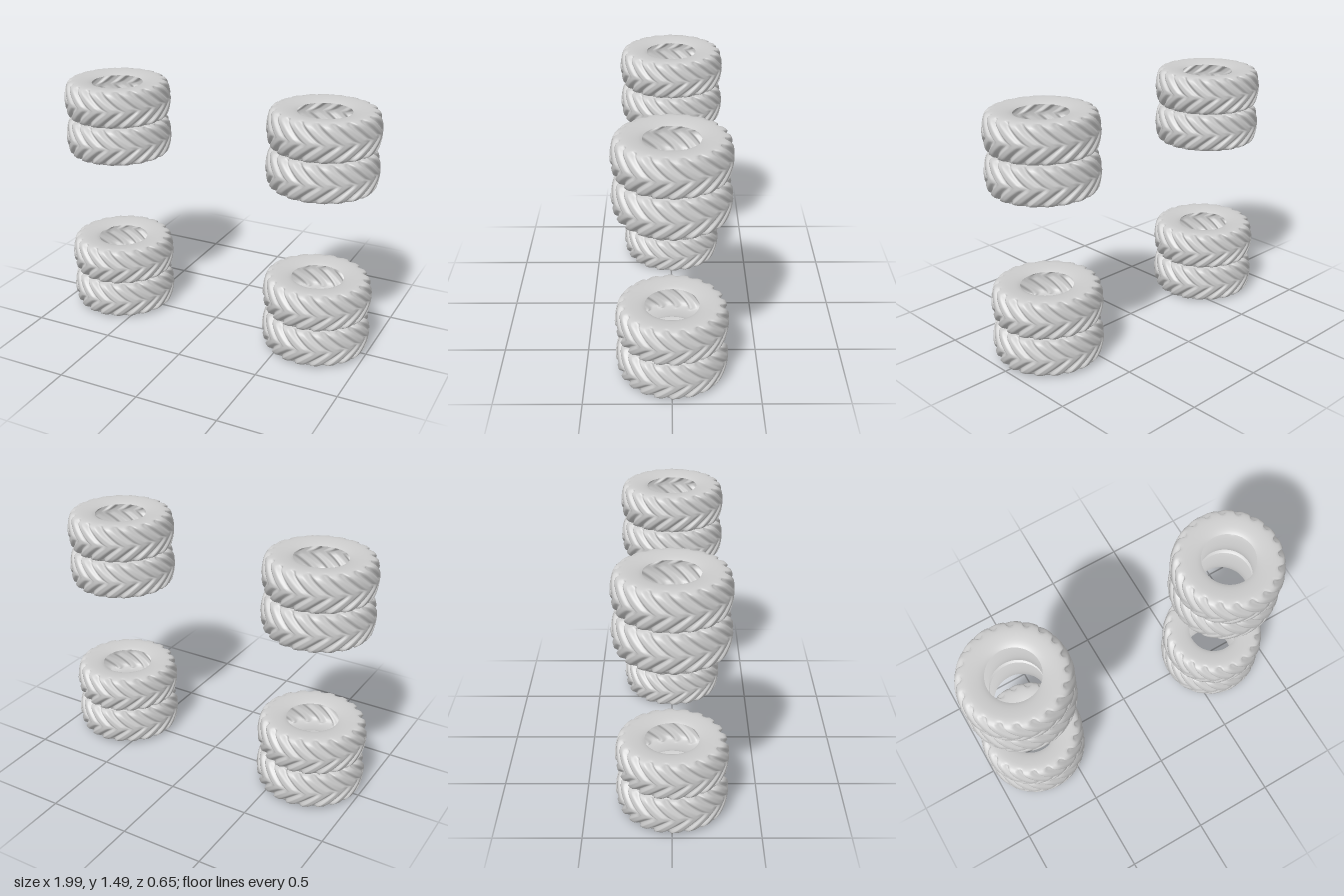
import * as THREE from 'three';

const LUGS = 20, PER_LUG = 10, COLS = LUGS * PER_LUG, HALF_ROWS = 17;
const HALF_HEIGHT = 0.115;

// Half section from the bead (hole) over the sidewall and shoulder to the tread centre: radius, height
const section = new THREE.SplineCurve([
  [0.155, 0.096], [0.172, 0.104], [0.205, 0.111], [0.245, 0.115], [0.275, 0.113], [0.296, 0.106],
  [0.309, 0.09], [0.316, 0.066], [0.322, 0.034], [0.325, 0],
].map(([r, y]) => new THREE.Vector2(r, y)));

// Height of the tread across one lug pitch: groove, ramp, lug, ramp
function lugHeight(u) {
  return THREE.MathUtils.smoothstep(u, 0.05, 0.4) * (1 - THREE.MathUtils.smoothstep(u, 0.8, 1));
}

// Hollow tyre shell; the grid columns are swept along the chevron lugs
function tyreGeometry() {
  const positions = [], index = [];
  const rows = HALF_ROWS * 2 - 1;
  for (let j = 0; j < rows; j++) {
    const k = Math.min(j, rows - 1 - j);
    const side = j < HALF_ROWS ? 1 : -1;
    const p = section.getPoint(k / (HALF_ROWS - 1));
    const t = Math.min(p.y / 0.106, 1); // 0 at tread centre, 1 at shoulder
    const onTread = THREE.MathUtils.smoothstep(p.x, 0.268, 0.3);
    const sweep = 0.4 * (p.x > 0.26 ? Math.pow(t, 0.9) : 1);
    const depth = onTread * (0.009 + 0.016 * t);
    for (let i = 0; i < COLS; i++) {
      const a = (i / COLS) * Math.PI * 2 + sweep;
      const cut = depth * (1 - lugHeight((i % PER_LUG) / PER_LUG));
      const r = p.x - cut;
      positions.push(r * Math.cos(a), side * (p.y - cut * 0.25 * t), r * Math.sin(a));
      if (j < rows - 1) {
        const n = (i + 1) % COLS, b = j * COLS, c = b + COLS;
        index.push(b + i, b + n, c + i, b + n, c + n, c + i);
      }
    }
  }
  const geometry = new THREE.BufferGeometry();
  geometry.setAttribute('position', new THREE.Float32BufferAttribute(positions, 3));
  geometry.setIndex(index);
  geometry.computeVertexNormals();
  return geometry;
}

export function createModel() {
  const model = new THREE.Group();
  model.name = 'tyreStacks';
  const material = new THREE.MeshStandardMaterial({ color: 0xcccccc, side: THREE.DoubleSide });
  const geometry = tyreGeometry();

  // Four stacks of two tyres: left and right, lower and upper
  for (const [sideName, x] of [['left', 0.673], ['right', -0.673]]) {
    for (const [level, y] of [['Lower', 0], ['Upper', 1.025]]) {
      const stack = new THREE.Group();
      stack.name = `${sideName}${level}Stack`;
      stack.position.set(x, y, 0);
      ['bottomTyre', 'topTyre'].forEach((name, n) => {
        const tyre = new THREE.Mesh(geometry, material);
        tyre.name = name;
        tyre.position.y = HALF_HEIGHT + n * 0.233;
        stack.add(tyre);
      });
      model.add(stack);
    }
  }
  return model;
}
